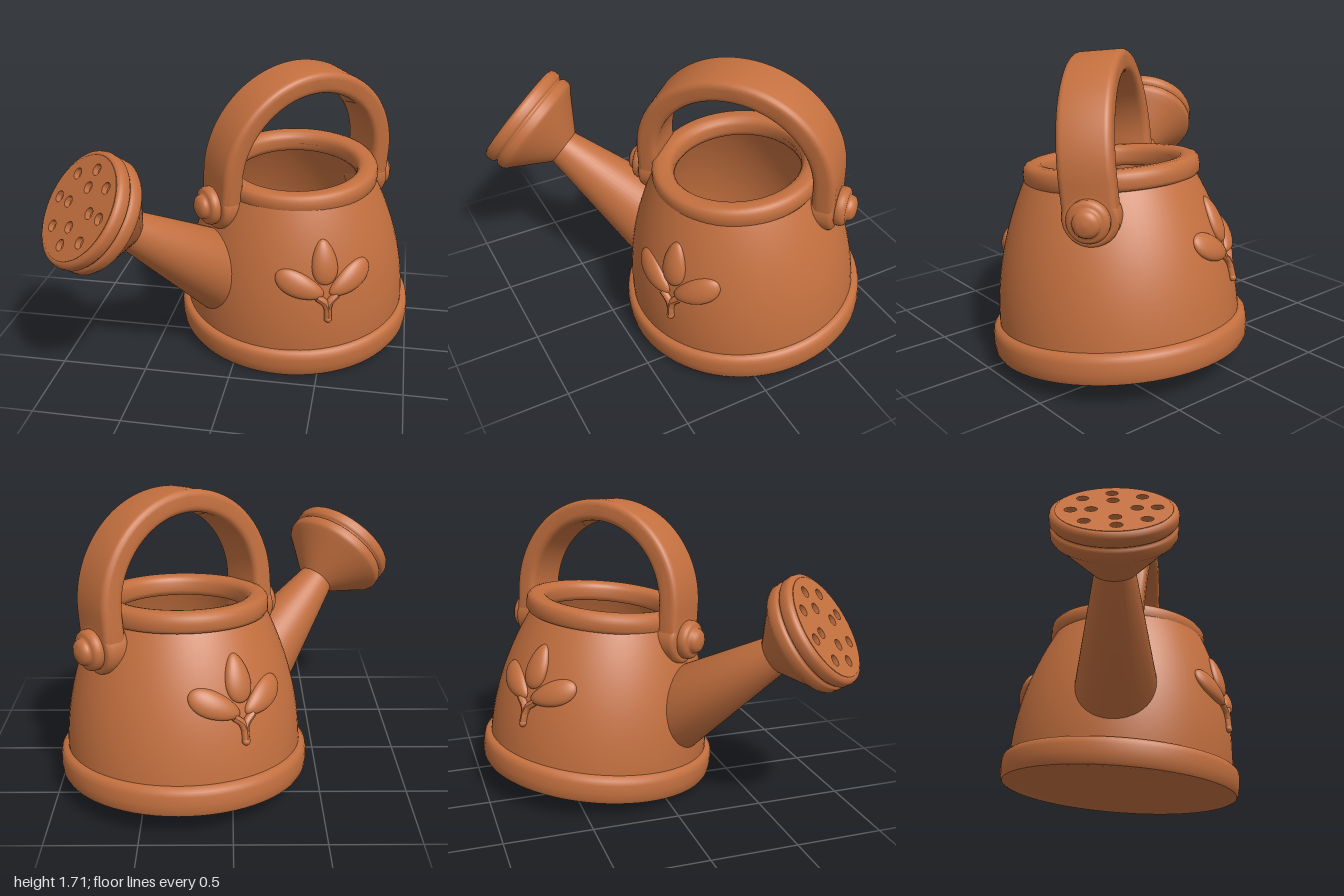
import * as THREE from 'three';
import { toCreasedNormals } from 'three/addons/utils/BufferGeometryUtils.js';

const terracotta = new THREE.MeshStandardMaterial({ color: 0xc4703f });
terracotta.name = 'terracotta';

function add(parent, name, geometry) {
  const mesh = new THREE.Mesh(geometry, terracotta);
  mesh.name = name;
  parent.add(mesh);
  return mesh;
}

const lathe = (points, segments = 72) =>
  new THREE.LatheGeometry(points.map(([r, y]) => new THREE.Vector2(r, y)), segments);

// Radius of the bell-shaped body at a height
const bodyRadius = (h) => 0.672 - 0.315 * (h - 0.15) ** 2;

// Wraps a flat relief (x along the wall, y up, z outward) around the body
function wrap(geometry, angle) {
  const p = geometry.attributes.position;
  for (let i = 0; i < p.count; i++) {
    const r = bodyRadius(p.getY(i));
    const a = angle + p.getX(i) / r;
    const d = r + p.getZ(i);
    p.setXYZ(i, Math.sin(a) * d, p.getY(i), Math.cos(a) * d);
  }
  geometry.computeVertexNormals();
  return geometry;
}

// Leaf bulge: a flattened ball, narrower towards its -x end
function leaf(length, width, turn, x, y) {
  const g = new THREE.SphereGeometry(1, 32, 20);
  const p = g.attributes.position;
  for (let i = 0; i < p.count; i++) {
    const t = p.getX(i);
    p.setXYZ(i, t * length, p.getY(i) * width * (1 + 0.25 * t), p.getZ(i) * 0.04);
  }
  return g.rotateZ(turn).translate(x, y, 0);
}

function stem(points) {
  const curve = new THREE.CatmullRomCurve3(points.map(([x, y]) => new THREE.Vector3(x, y, 0.008)));
  return new THREE.TubeGeometry(curve, 12, 0.021, 10);
}

function addSprig(parent, name, angle) {
  const sprig = new THREE.Group();
  sprig.name = name;
  add(sprig, 'bud', wrap(leaf(0.125, 0.073, -Math.PI / 2, 0, 0.695), angle));
  for (const s of [-1, 1]) {
    const turn = s > 0 ? 0.42 : Math.PI - 0.42;
    add(sprig, 'leaf', wrap(leaf(0.145, 0.07, turn, s * 0.15, 0.575), angle));
    add(sprig, 'twig', wrap(stem([[0, 0.43], [s * 0.015, 0.47], [s * 0.06, 0.51]]), angle));
  }
  add(sprig, 'stem', wrap(stem([[0, 0.37], [0, 0.41], [0, 0.45]]), angle));
  add(sprig, 'stemTip', wrap(new THREE.SphereGeometry(0.023, 12, 8).translate(0, 0.372, 0.008), angle));
  parent.add(sprig);
}

function buildPot() {
  const pot = new THREE.Group();
  pot.name = 'pot';

  // Base band with rounded edges and flat underside
  add(pot, 'baseBand', toCreasedNormals(lathe([
    [0, 0], [0.685, 0], [0.7, 0.006], [0.71, 0.025], [0.715, 0.07], [0.714, 0.12],
    [0.708, 0.145], [0.695, 0.16], [0.67, 0.166], [0.6, 0.166],
  ]), 0.7));

  // Body wall, outside then inside down to the floor
  const wall = [];
  for (let i = 0; i <= 16; i++) {
    const h = 0.14 + (0.84 * i) / 16;
    wall.push([bodyRadius(h), h]);
  }
  for (let i = 16; i >= 0; i--) {
    const h = 0.12 + (0.86 * i) / 16;
    wall.push([bodyRadius(h) - 0.07, h]);
  }
  wall.push([0, 0.12]);
  add(pot, 'body', toCreasedNormals(lathe(wall), 0.7));

  // Rolled rim around the opening
  add(pot, 'rim', lathe([
    [0.4, 0.93], [0.45, 0.93], [0.472, 0.936], [0.484, 0.955], [0.486, 0.99], [0.482, 1.02],
    [0.468, 1.038], [0.445, 1.046], [0.41, 1.046], [0.385, 1.04], [0.372, 1.025],
    [0.362, 1.005], [0.36, 0.96], [0.37, 0.93], [0.4, 0.93],
  ])).position.z = -0.025;

  addSprig(pot, 'frontSprig', 0.41);
  addSprig(pot, 'backSprig', Math.PI + 0.56);

  pot.position.set(0.285, 0.08, -0.275);
  pot.rotation.x = 0.109;
  return pot;
}

function buildHandle() {
  const handle = new THREE.Group();
  handle.name = 'handle';
  const bevel = 0.035, outer = 0.58 - bevel, inner = 0.455 + bevel, spring = 0.18, width = 0.285;

  // Arched strap
  const arch = new THREE.Shape();
  arch.moveTo(outer, -0.02);
  arch.lineTo(outer, spring);
  arch.absarc(0, spring, outer, 0, Math.PI, false);
  arch.lineTo(-outer, -0.02);
  arch.lineTo(-inner, -0.02);
  arch.lineTo(-inner, spring);
  arch.absarc(0, spring, inner, Math.PI, 0, true);
  arch.lineTo(inner, -0.02);
  const strap = new THREE.ExtrudeGeometry(arch, {
    depth: width - 2 * bevel, bevelSize: bevel, bevelThickness: bevel, bevelSegments: 4, curveSegments: 48,
  }).translate(0, 0, bevel - width / 2);
  add(handle, 'strap', toCreasedNormals(strap, 0.7));

  // Rounded strap ends with stepped buttons
  const pad = lathe([[0, 0.44], [0.13, 0.44], [0.145, 0.455], [0.15, 0.475], [0.15, 0.55],
    [0.143, 0.57], [0.125, 0.581], [0, 0.583]], 40);
  const button = lathe([[0.1, 0.56], [0.112, 0.585], [0.113, 0.61], [0.105, 0.628], [0.088, 0.636],
    [0.074, 0.636], [0.072, 0.65], [0.062, 0.668], [0.04, 0.68], [0, 0.685]], 40);
  for (const s of [-1, 1]) {
    add(handle, 'strapEnd', pad).rotation.z = -s * Math.PI / 2;
    add(handle, 'button', button).rotation.z = -s * Math.PI / 2;
  }

  handle.position.set(0.29, 0.945, -0.21);
  handle.rotation.set(-0.1, Math.PI + 0.695, 0, 'YXZ');
  return handle;
}

function buildSpout() {
  const spout = new THREE.Group();
  spout.name = 'spout';

  // Tapered tube; the neck of the head is at height 0
  add(spout, 'tube', lathe([[0, -0.8], [0.252, -0.8], [0.11, 0], [0.1, 0.05]], 48));

  // Flared head with two rounded flanges
  add(spout, 'head', lathe([
    [0.09, -0.01], [0.115, 0], [0.285, 0.165], [0.315, 0.19], [0.326, 0.21], [0.326, 0.245],
    [0.318, 0.258], [0.306, 0.265], [0.318, 0.272], [0.328, 0.285], [0.329, 0.32], [0.322, 0.338],
    [0.305, 0.347], [0.295, 0.346], [0.29, 0.315], [0, 0.315],
  ], 64));

  // Face plate pierced by two rings of holes
  const face = new THREE.Shape().absarc(0, 0, 0.297, 0, Math.PI * 2);
  for (const [count, radius] of [[4, 0.115], [8, 0.218]]) {
    for (let i = 0; i < count; i++) {
      const a = Math.PI / 2 + 0.06 + (i * Math.PI * 2) / count;
      face.holes.push(new THREE.Path().absarc(
        Math.cos(a) * radius, Math.sin(a) * radius, 0.032, 0, Math.PI * 2, true));
    }
  }
  const plate = new THREE.ExtrudeGeometry(face, { depth: 0.04, bevelEnabled: false, curveSegments: 24 });
  add(spout, 'facePlate', toCreasedNormals(plate.rotateX(-Math.PI / 2).translate(0, 0.308, 0), 0.7));

  // Aim the spout up and out over the front right
  const side = new THREE.Vector3(1, 0, 1).normalize();
  const aim = new THREE.Vector3(-1, 1, 1).normalize();
  const down = new THREE.Vector3().crossVectors(side, aim);
  spout.quaternion.setFromRotationMatrix(new THREE.Matrix4().makeBasis(side, aim, down));
  spout.position.set(-0.54, 0.93, 0.54);
  return spout;
}

export function createModel() {
  const model = new THREE.Group();
  model.name = 'wateringCan';
  model.add(buildPot(), buildHandle(), buildSpout());
  return model;
}
